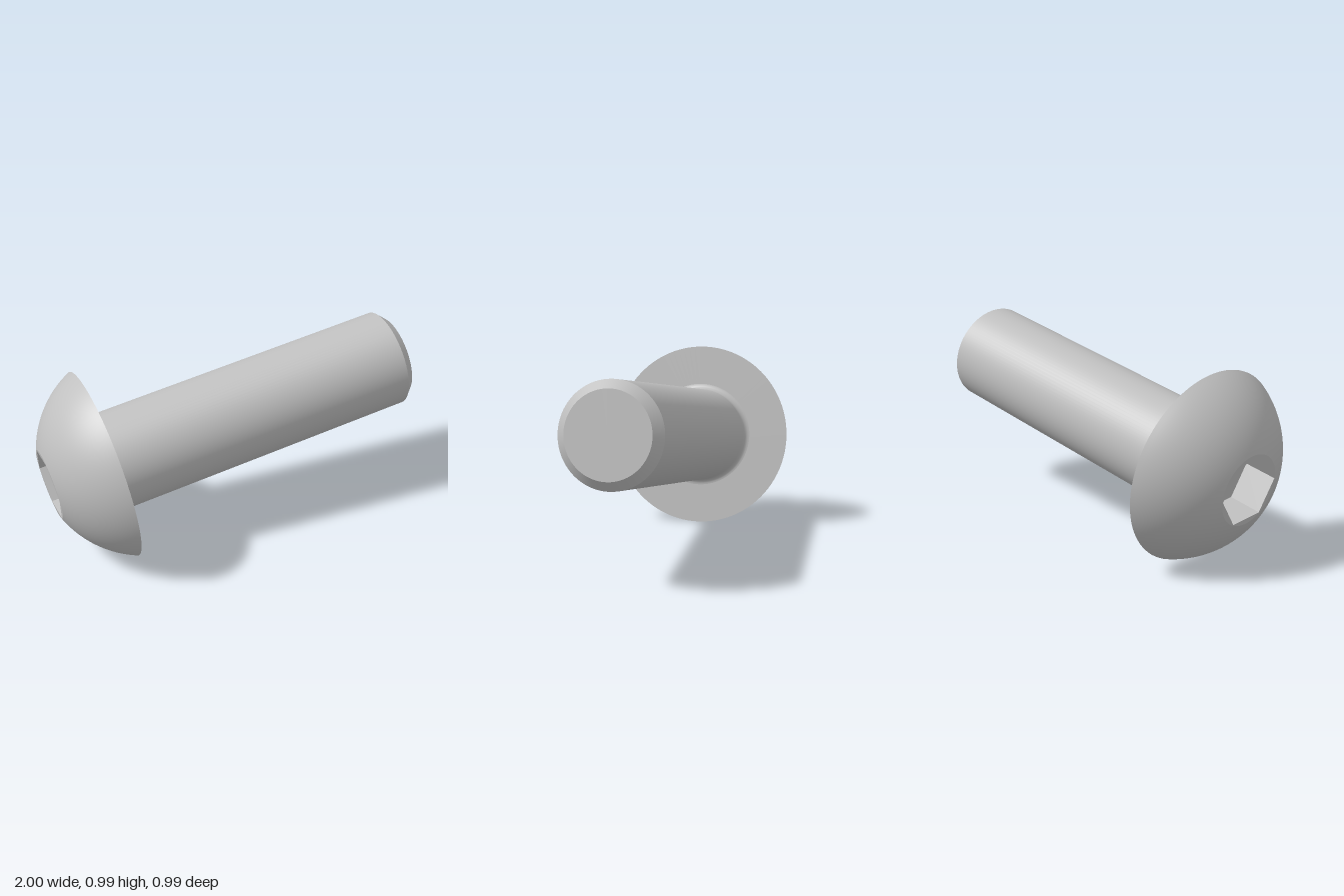
import * as THREE from 'three';

export function createModel() {
  const model = new THREE.Group();
  model.name = 'buttonHeadBolt';
  const steel = new THREE.MeshStandardMaterial({ color: 0xc0c0c0 });
  steel.name = 'steel';

  // The bolt is built along +y: underside of the head at y = 0, shaft tip at the top.
  const bolt = new THREE.Group();
  bolt.name = 'bolt';
  model.add(bolt);

  const headR = 0.496, shaftR = 0.255, tipR = 0.21, fillet = 0.03;
  const length = 1.674, chamfer = 0.046;
  const hexR = 0.18, topR = 0.184, socketDepth = 0.18;
  const sphereR = 0.543, sphereY = 0.22;

  const add = (name, geometry) => {
    const mesh = new THREE.Mesh(geometry, steel);
    mesh.name = name;
    bolt.add(mesh);
    return mesh;
  };
  const lathe = (name, points) =>
    add(name, new THREE.LatheGeometry(points.map(([r, y]) => new THREE.Vector2(r, y)), 96));

  // Domed head
  const dome = [];
  const a0 = Math.asin(topR / sphereR), a1 = Math.asin(headR / sphereR);
  for (let i = 0; i <= 20; i++) {
    const a = a0 + (a1 - a0) * i / 20;
    dome.push([sphereR * Math.sin(a), sphereY - sphereR * Math.cos(a)]);
  }
  const topY = dome[0][1];
  const rimY = dome[20][1];
  lathe('headDome', dome);
  lathe('headUnderside', [[headR, rimY], [shaftR + fillet, 0]]);

  // Shaft with a small fillet at the head
  const shaft = [];
  for (let i = 0; i <= 6; i++) {
    const a = Math.PI / 2 * i / 6;
    shaft.push([shaftR + fillet * (1 - Math.sin(a)), fillet * (1 - Math.cos(a))]);
  }
  lathe('shaftFillet', shaft);
  lathe('shaft', [[shaftR, fillet], [shaftR, length - chamfer]]);
  lathe('tipChamfer', [[shaftR, length - chamfer], [tipR, length]]);
  lathe('tipFace', [[tipR, length], [0, length]]);

  // Top of the head around the hexagonal socket
  const ring = new THREE.Shape().absarc(0, 0, topR, 0, Math.PI * 2, false);
  const hex = [];
  for (let i = 0; i < 6; i++) {
    const a = Math.PI / 2 + i * Math.PI / 3;
    hex.push(new THREE.Vector2(hexR * Math.cos(a), hexR * Math.sin(a)));
  }
  ring.holes.push(new THREE.Path(hex));
  add('headTop', new THREE.ShapeGeometry(ring, 48).rotateX(Math.PI / 2)).position.y = topY;

  // Socket walls, mirrored so that they face inwards, and floor
  const walls = new THREE.CylinderGeometry(hexR, hexR, socketDepth, 6, 1, true)
    .scale(-1, 1, 1).toNonIndexed();
  walls.computeVertexNormals();
  add('socketWalls', walls).position.y = topY + socketDepth / 2;
  add('socketFloor', new THREE.CircleGeometry(hexR, 6, Math.PI / 2).rotateX(Math.PI / 2))
    .position.y = topY + socketDepth;

  // Lay the bolt down along its tilted axis
  const axis = new THREE.Vector3(1.647, 0.26, -0.145).normalize();
  bolt.quaternion.setFromUnitVectors(new THREE.Vector3(0, 1, 0), axis);
  bolt.position.set(-0.682, 0.49, 0);
  return model;
}
